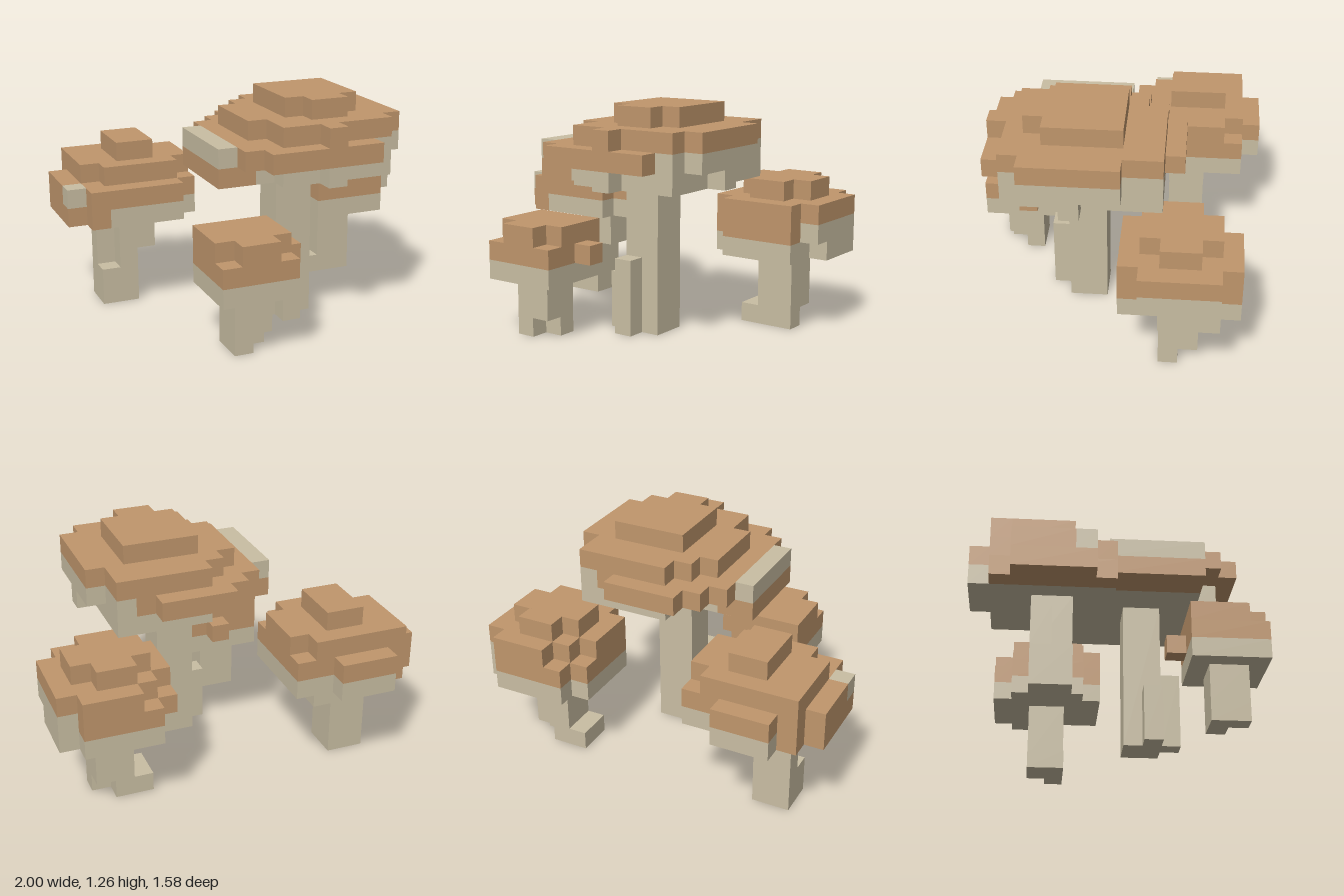
import * as THREE from 'three';
import { mergeGeometries } from 'three/addons/utils/BufferGeometryUtils.js';

const U = 2 / 19; // one block

const capBrown = new THREE.MeshStandardMaterial({ color: 0xc0966c });
capBrown.name = 'capBrown';
const stemBeige = new THREE.MeshStandardMaterial({ color: 0xc9bea3 });
stemBeige.name = 'stemBeige';

// Each block run is [x0, x1, y0, y1, z0, z1] in block units
function blocks(name, material, runs) {
  const parts = runs.map(([x0, x1, y0, y1, z0, z1]) =>
    new THREE.BoxGeometry((x1 - x0) * U, (y1 - y0) * U, (z1 - z0) * U).translate(
      ((x0 + x1) / 2 - 9.5) * U, ((y0 + y1) / 2) * U, ((z0 + z1) / 2 - 7.5) * U));
  const mesh = new THREE.Mesh(mergeGeometries(parts), material);
  mesh.name = name;
  return mesh;
}

function mushroom(name, { cap, underside, stem }) {
  const group = new THREE.Group();
  group.name = name;
  group.add(
    blocks('cap', capBrown, cap),
    blocks('capUnderside', stemBeige, underside),
    blocks('stem', stemBeige, stem));
  return group;
}

export function createModel() {
  const model = new THREE.Group();
  model.name = 'mushroomCluster';

  model.add(mushroom('tallMushroom', {
    cap: [
      // crown
      [10, 14, 11, 12, 7, 11], [11, 13, 11, 12, 11, 12],
      // upper tier
      [10, 15, 10, 11, 5, 6], [9, 15, 10, 11, 6, 7], [8, 16, 10, 11, 7, 11],
      [9, 16, 10, 11, 11, 12], [9, 15, 10, 11, 12, 13], [11, 12, 10, 11, 13, 14],
      // wide tier
      [9, 13, 9, 10, 4, 5], [8, 14, 9, 10, 5, 6], [7, 14, 9, 10, 6, 13], [8, 14, 9, 10, 13, 14],
      // drooping edge
      [6, 8, 8, 9, 7, 12],
    ],
    underside: [
      [14, 15, 9, 10, 5, 13], [15, 16, 9, 10, 7, 12], [6, 7, 9, 10, 7, 12],
      [10, 15, 8, 9, 5, 6], [9, 15, 8, 9, 6, 7], [8, 15, 8, 9, 7, 12],
      [9, 15, 8, 9, 12, 13], [15, 16, 8, 9, 9, 10], [11, 12, 8, 9, 13, 14],
    ],
    stem: [[10, 12, 0, 8, 8, 10], [10, 11, 0, 4, 10, 11], [9, 10, 0, 3, 9, 10]],
  }));

  model.add(mushroom('backRightMushroom', {
    cap: [
      [3, 5, 8, 9, 2, 5],
      [1, 6, 7, 8, 1, 2], [1, 7, 7, 8, 2, 5], [2, 6, 7, 8, 5, 6],
      [2, 5, 6, 7, 0, 1], [1, 7, 6, 7, 1, 2], [0, 7, 6, 7, 2, 5],
      [1, 7, 6, 7, 5, 6], [1, 6, 6, 7, 6, 7],
      [0, 1, 5, 6, 2, 6], [1, 2, 5, 6, 1, 7],
    ],
    underside: [
      [0, 1, 6, 7, 5, 6], [2, 5, 5, 6, 0, 1], [2, 7, 5, 6, 1, 6], [2, 6, 5, 6, 6, 7],
    ],
    stem: [[2, 4, 0, 2, 3, 5], [2, 3, 2, 4, 3, 4], [3, 4, 2, 5, 3, 5], [4, 5, 3, 5, 3, 5]],
  }));

  model.add(mushroom('backLeftMushroom', {
    cap: [
      [15, 17, 7, 8, 2, 6], [14, 18, 7, 8, 3, 5],
      [15, 18, 6, 7, 1, 2], [14, 19, 6, 7, 2, 3], [13, 19, 6, 7, 3, 6], [14, 18, 6, 7, 6, 7],
      [14, 18, 5, 6, 1, 2], [13, 18, 5, 6, 2, 6], [14, 18, 5, 6, 6, 7],
    ],
    underside: [
      [18, 19, 5, 6, 2, 6],
      [14, 18, 4, 5, 1, 2], [13, 18, 4, 5, 2, 6], [18, 19, 4, 5, 2, 5], [14, 18, 4, 5, 6, 7],
    ],
    stem: [[15, 17, 1, 4, 3, 5], [14, 16, 0, 1, 3, 5], [16, 17, 0, 1, 4, 5]],
  }));

  model.add(mushroom('smallFrontMushroom', {
    cap: [
      [5, 9, 5, 6, 11, 14], [6, 8, 5, 6, 14, 15],
      [5, 9, 4, 5, 11, 15], [9, 10, 4, 5, 12, 13], [7, 8, 4, 5, 10, 11],
    ],
    underside: [[5, 9, 3, 4, 11, 15]],
    stem: [[6, 8, 1, 3, 12, 14], [6, 7, 0, 1, 12, 14], [7, 8, 0, 1, 12, 13]],
  }));

  return model;
}
